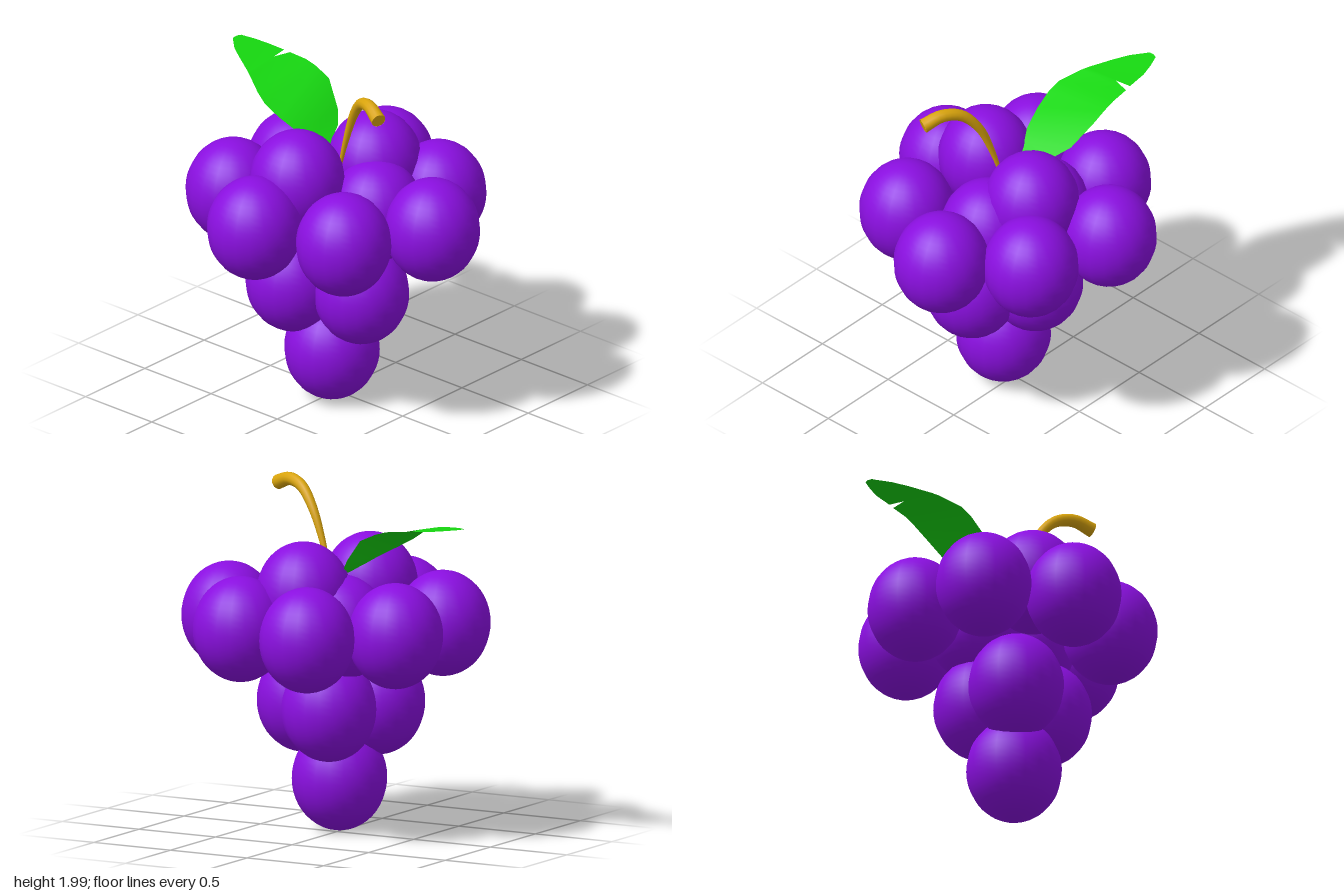
import * as THREE from 'three';

export function createModel() {
  const group = new THREE.Group();
  const purple = new THREE.MeshStandardMaterial({ color: 0x8a0fe0 });
  const green = new THREE.MeshStandardMaterial({ color: 0x16d610, side: THREE.DoubleSide });
  const brown = new THREE.MeshStandardMaterial({ color: 0xd9a40c, side: THREE.DoubleSide });

  const add = (name, geometry, material) => {
    const mesh = new THREE.Mesh(geometry, material);
    mesh.name = name;
    group.add(mesh);
    return mesh;
  };

  // Berries: tiers of slightly tall spheres, [x, z] per tier height
  const berry = new THREE.SphereGeometry(0.27, 20, 24);
  berry.scale(1, 0.3 / 0.27, 1);
  const tiers = [
    { name: 'bottomBerry', y: 0.305, at: [[0.02, 0.06]] },
    { name: 'lowerBerry', y: 0.73, at: [[-0.14, 0.21], [0.26, 0.08], [-0.03, -0.14]] },
    { name: 'outerBerry', y: 1.2, at: [[-0.52, 0.29], [-0.09, 0.59], [0.43, 0.42], [0.67, -0.06],
      [0.36, -0.46], [-0.15, -0.59], [-0.51, -0.22]] },
    { name: 'innerBerry', y: 1.2, at: [[0.26, -0.04], [-0.1, -0.13]] },
    { name: 'topBerry', y: 1.385, at: [[-0.06, 0.265], [0.09, -0.22]] },
  ];
  for (const { name, y, at } of tiers) {
    for (const [x, z] of at) add(name, berry, purple).position.set(x, y, z);
  }

  // Stem: curved tube that thickens towards its cut end
  const path = new THREE.CatmullRomCurve3([
    [0.06, 1.43, 0.04], [0.12, 1.62, 0.055], [0.2, 1.81, 0.08], [0.3, 1.93, 0.125],
    [0.41, 1.96, 0.175], [0.515, 1.925, 0.22],
  ].map((p) => new THREE.Vector3(...p)));
  const rings = 24, sides = 12;
  const stem = new THREE.TubeGeometry(path, rings, 1, sides);
  const pos = stem.attributes.position;
  const v = new THREE.Vector3();
  for (let i = 0; i < pos.count; i++) {
    const t = Math.floor(i / (sides + 1)) / rings;
    const c = path.getPointAt(t);
    v.fromBufferAttribute(pos, i).sub(c).multiplyScalar(0.009 + 0.033 * t).add(c);
    pos.setXYZ(i, v.x, v.y, v.z);
  }
  add('stem', stem, brown);
  const cap = add('stemEnd', new THREE.CircleGeometry(0.041, sides), brown);
  cap.position.copy(path.getPointAt(1));
  cap.lookAt(cap.position.clone().add(path.getTangentAt(1)));

  // Leaf: strip of cross-sections [x, back z, back y, front z, front y], with a notch in the back edge
  const sections = [
    [-0.07, -0.01, 1.49, 0.01, 1.49],
    [-0.15, -0.18, 1.55, 0.055, 1.54],
    [-0.21, -0.245, 1.61, 0.09, 1.58],
    [-0.33, -0.305, 1.74, 0.118, 1.645],
    [-0.43, -0.306, 1.785, 0.125, 1.7],
    [-0.5, -0.303, 1.805, 0.108, 1.745],
    [-0.615, -0.295, 1.815, 0.045, 1.79],
    [-0.645, -0.19, 1.815, 0.028, 1.797],
    [-0.655, -0.29, 1.82, 0.022, 1.8],
    [-0.78, -0.28, 1.828, -0.05, 1.82],
    [-0.86, -0.26, 1.837, -0.1, 1.83],
    [-0.93, -0.235, 1.845, -0.165, 1.84],
    [-0.94, -0.21, 1.846, -0.18, 1.845],
  ];
  const points = [], faces = [];
  sections.forEach(([x, zb, yb, zf, yf], i) => {
    points.push(x, yb, zb, x, yf, zf);
    const a = 2 * i;
    if (i) faces.push(a - 2, a, a - 1, a, a + 1, a - 1);
  });
  const leaf = new THREE.BufferGeometry();
  leaf.setAttribute('position', new THREE.Float32BufferAttribute(points, 3));
  leaf.setIndex(faces);
  leaf.computeVertexNormals();
  add('leaf', leaf, green);

  return group;
}
